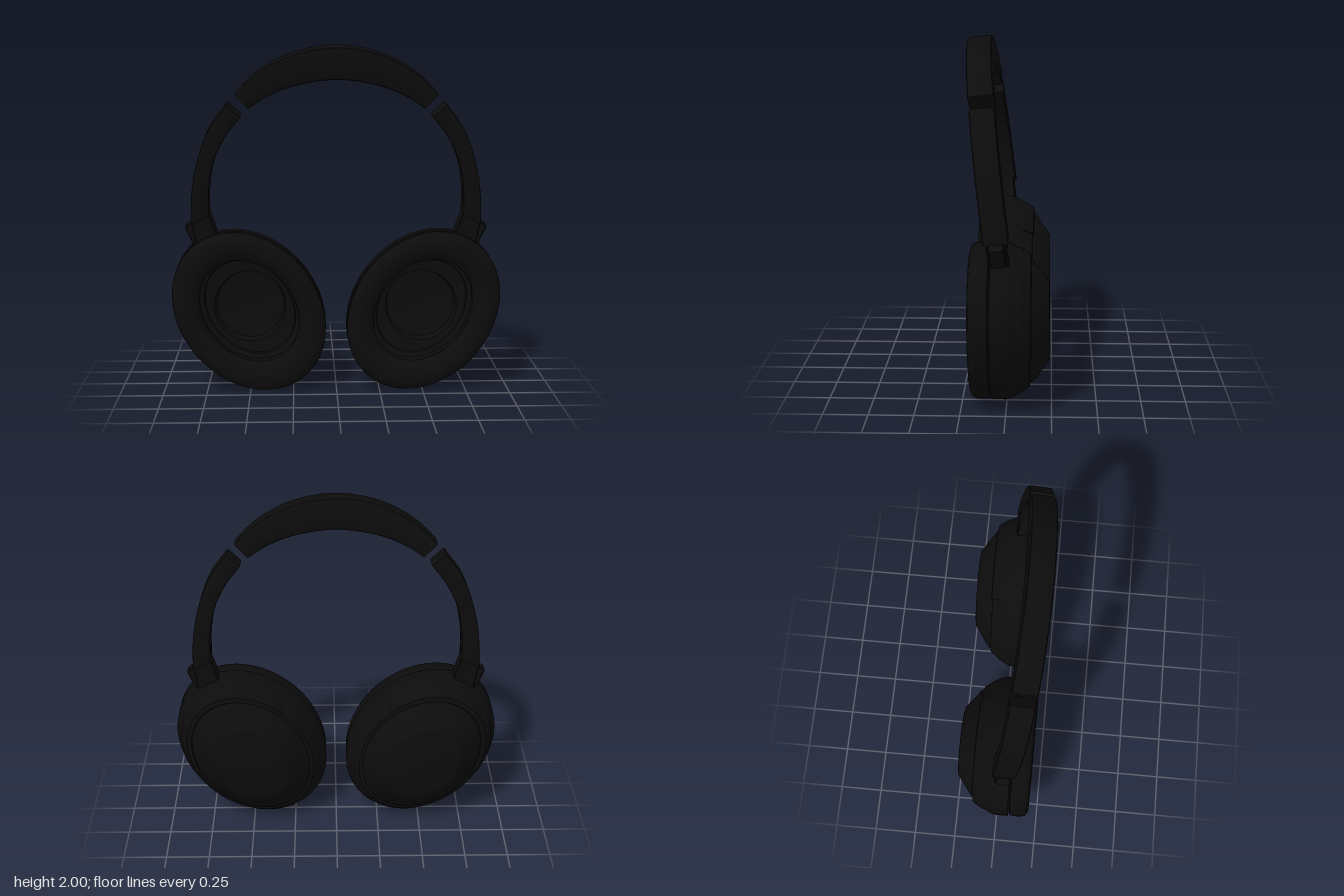
import * as THREE from 'three';
import { toCreasedNormals } from 'three/addons/utils/BufferGeometryUtils.js';

const black = new THREE.MeshStandardMaterial({ color: 0x0c0c0c });
black.name = 'matte black';

// Half axes of the oval ear cups, and their tilt
const CUP_A = 0.402, CUP_B = 0.502, CUP_TILT = 0.686;

// Skins a list of rings (arrays of points, each ring closed) with creased normals
function loft(rings, crease = 0.5) {
  const n = rings[0].length;
  const pos = rings.flat().flatMap((p) => [p.x, p.y, p.z]);
  const index = [];
  for (let i = 0; i < rings.length - 1; i++) {
    for (let j = 0; j < n; j++) {
      const k = (j + 1) % n;
      const a = i * n + j, b = i * n + k, c = a + n, d = b + n;
      index.push(a, b, d, a, d, c);
    }
  }
  const geo = new THREE.BufferGeometry();
  geo.setAttribute('position', new THREE.Float32BufferAttribute(pos, 3));
  geo.setIndex(index);
  return toCreasedNormals(geo, crease);
}

// Closes both ends of a ring list by collapsing onto the ring centres
function capped(rings) {
  const flat = (ring) => {
    const c = new THREE.Vector3();
    ring.forEach((p) => c.add(p));
    c.divideScalar(ring.length);
    return ring.map(() => c.clone());
  };
  return [flat(rings[0]), ...rings, flat(rings[rings.length - 1])];
}

// One oval ring; round = true gives a circle of radius s
function oval(s, z, round = false) {
  return Array.from({ length: 72 }, (_, j) => {
    const t = (j / 72) * Math.PI * 2;
    return new THREE.Vector3(
      Math.cos(t) * s * (round ? 1 : CUP_A), Math.sin(t) * s * (round ? 1 : CUP_B), z);
  });
}

function mesh(name, geo) {
  const m = new THREE.Mesh(geo, black);
  m.name = name;
  return m;
}

// Curved band between an outer and an inner edge line
function band(outer, inner, halfWidth, steps) {
  const curve = (pts) => new THREE.CatmullRomCurve3(
    pts.map(([x, y]) => new THREE.Vector3(x, y - 1, 0))).getSpacedPoints(steps);
  const o = curve(outer), i = curve(inner);
  // cross-section: [inner-to-outer fraction, share of half width]
  const section = [[0.9, -1], [0.98, -0.93], [1, -0.8], [1, 0.8], [0.98, 0.93], [0.9, 1],
    [0.15, 1], [0.03, 0.9], [0, 0.75], [0, -0.75], [0.03, -0.9], [0.15, -1]];
  const rings = o.map((p, k) => section.map(([u, w]) => {
    const q = i[k].clone().lerp(p, u);
    q.z = w * halfWidth;
    return q;
  }));
  return loft(capped(rings), 0.6);
}

function earCup(side) {
  const cup = new THREE.Group();
  cup.name = side > 0 ? 'leftEarCup' : 'rightEarCup';
  cup.position.set(side * 0.505, 0.467, 0);
  cup.rotation.z = -side * CUP_TILT;

  // Shell: domed back, straight rim, hollow front with a round speaker recess
  cup.add(mesh('shell', loft([
    oval(0, -0.125), oval(0.8, -0.13), oval(0.83, -0.128), oval(0.93, -0.067),
    oval(0.985, -0.02), oval(1, 0), oval(1, 0.08), oval(0.67, 0.08), oval(0.66, 0.03),
    oval(0.6, 0.02), oval(0.59, 0), oval(0.21, -0.01, true), oval(0.2, -0.07, true),
    oval(0.13, -0.08, true), oval(0, -0.085),
  ])));

  // Raised back cap
  cup.add(mesh('backCap', loft([
    oval(0, -0.238), oval(0.47, -0.238), oval(0.51, -0.234), oval(0.54, -0.222),
    oval(0.77, -0.146), oval(0.78, -0.138), oval(0.78, -0.12),
  ])));

  // Soft ear cushion
  cup.add(mesh('cushion', loft([
    [0.95, 0.086], [0.985, 0.092], [0.995, 0.11], [0.995, 0.155], [0.98, 0.178], [0.945, 0.193],
    [0.89, 0.2], [0.82, 0.2], [0.75, 0.194], [0.69, 0.178], [0.655, 0.15], [0.645, 0.12],
    [0.66, 0.086], [0.95, 0.086],
  ].map(([s, z]) => oval(s, z)), 0.9)));

  // Raised curved strip around the top of the shell
  const strip = [[0.935, -0.05], [0.93, -0.078], [0.85, -0.134], [0.79, -0.138], [0.79, -0.11]];
  const rings = [];
  for (let k = 0; k <= 40; k++) {
    const t = Math.PI / 2 + (k / 40 - 0.5) * 2.6;
    rings.push(strip.map(([s, z]) =>
      new THREE.Vector3(Math.cos(t) * s * CUP_A, Math.sin(t) * s * CUP_B, z)));
  }
  cup.add(mesh('shellStrip', loft(capped(rings), 0.4)));
  return cup;
}

// Hinge block joining an arm to its cup
function hinge(side) {
  const extrude = (pts, depth) => {
    const shape = new THREE.Shape(pts.map(([x, y]) => new THREE.Vector2(side * x, y - 1)));
    const geo = new THREE.ExtrudeGeometry(shape, {
      depth: depth - 0.012, bevelThickness: 0.006, bevelSize: 0.005, bevelOffset: -0.005, bevelSegments: 1,
    });
    return geo.translate(0, 0, -depth / 2 + 0.006);
  };
  const g = new THREE.Group();
  g.name = side > 0 ? 'leftHinge' : 'rightHinge';
  g.add(mesh('neck', extrude([[0.835, 0.99], [0.73, 1.035], [0.69, 0.92], [0.71, 0.82], [0.8, 0.82]], 0.11)));
  g.add(mesh('hingeBlock', extrude([[0.84, 0.985], [0.872, 0.957], [0.83, 0.86], [0.74, 0.84], [0.78, 0.99]], 0.085)));
  return g;
}

export function createModel() {
  const model = new THREE.Group();
  model.name = 'headphones';

  // Headband leans slightly forward
  const headband = new THREE.Group();
  headband.name = 'headband';
  headband.position.set(0, 1, 0.05);
  headband.rotation.x = 0.12;
  model.add(headband);

  const mirror = (pts) => pts.map(([x, y]) => [-x, y]).reverse();
  const whole = (half) => [...mirror(half), ...half.slice(1)];

  // Padded crown
  headband.add(mesh('crownPad', band(
    whole([[0, 2], [0.25, 1.957], [0.45, 1.85], [0.572, 1.735]]),
    whole([[0, 1.817], [0.25, 1.779], [0.4, 1.717], [0.495, 1.655]]), 0.071, 48)));

  // Side arms
  const outer = [[0.62, 1.675], [0.72, 1.54], [0.79, 1.36], [0.826, 1.18], [0.836, 0.985]];
  const inner = [[0.543, 1.605], [0.63, 1.49], [0.693, 1.36], [0.725, 1.2], [0.73, 1.03]];
  headband.add(mesh('leftArm', band(outer, inner, 0.069, 28)));
  headband.add(mesh('rightArm', band(mirror(outer), mirror(inner), 0.069, 28)));

  for (const side of [1, -1]) {
    headband.add(hinge(side));
    model.add(earCup(side));
  }
  return model;
}
